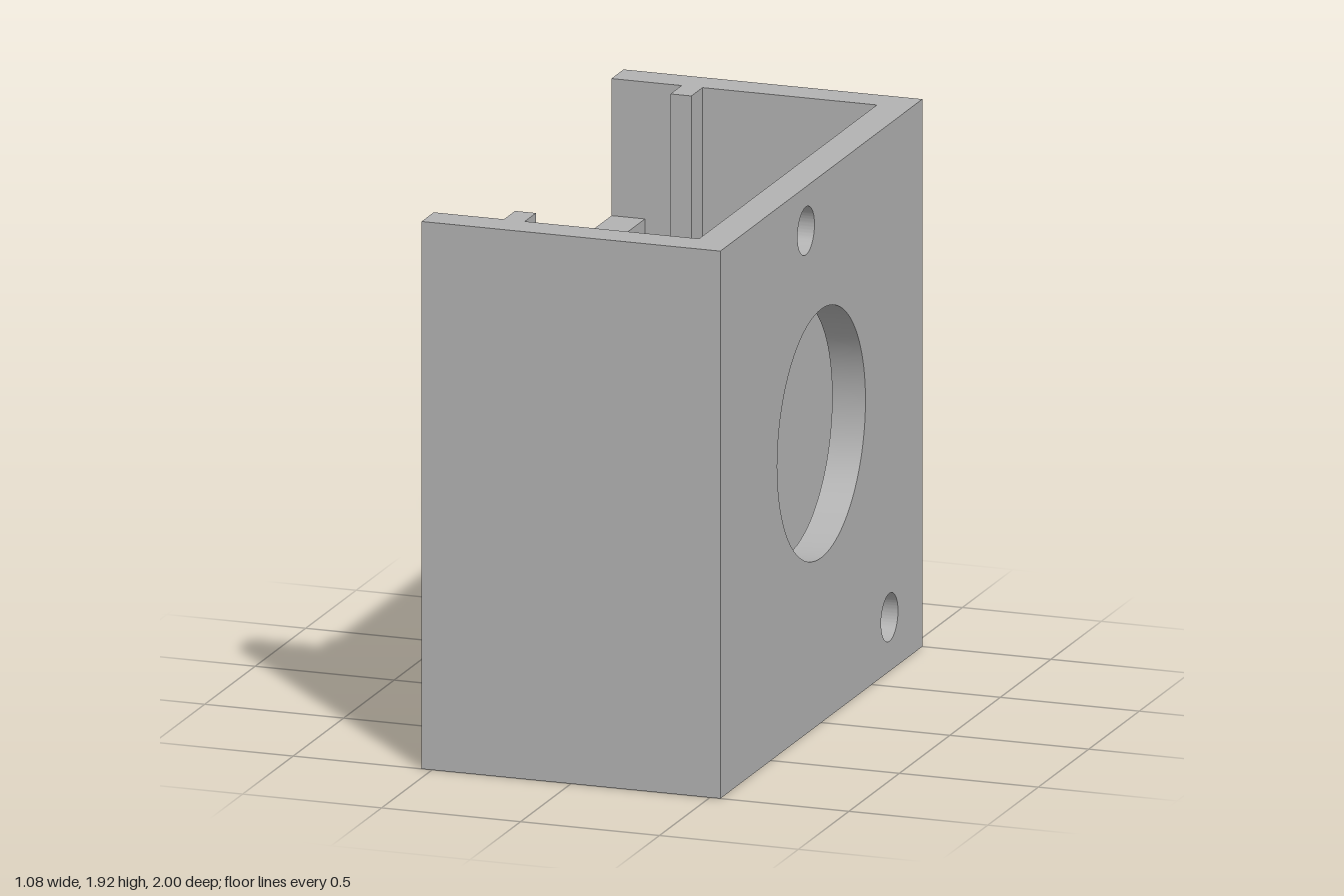
import * as THREE from 'three';
import { toCreasedNormals } from 'three/addons/utils/BufferGeometryUtils.js';

const X = 0.5375, H = 1.925, Z = 1; // half width, height, half depth
const WALL = 0.12;

export function createModel() {
  const group = new THREE.Group();
  const grey = new THREE.MeshStandardMaterial({ color: 0xb2b2b2 });
  grey.name = 'grey';

  function add(name, geometry) {
    const mesh = new THREE.Mesh(geometry, grey);
    mesh.name = name;
    group.add(mesh);
    return mesh;
  }

  // Box given by its extents on each axis
  function block(name, [x0, x1], [y0, y1], [z0, z1]) {
    const mesh = add(name, new THREE.BoxGeometry(x1 - x0, y1 - y0, z1 - z0));
    mesh.position.set((x0 + x1) / 2, (y0 + y1) / 2, (z0 + z1) / 2);
  }

  // Side plate with one large opening and two small holes: [z, y, radius]
  const plate = new THREE.Shape();
  plate.moveTo(-Z, 0).lineTo(Z, 0).lineTo(Z, H).lineTo(-Z, H).closePath();
  for (const [z, y, r] of [[0, 1.017, 0.437], [0.152, 1.77, 0.084], [-0.675, 0.19, 0.084]]) {
    plate.holes.push(new THREE.Path().absarc(-z, y, r, 0, Math.PI * 2, true));
  }
  const plateGeometry = new THREE.ExtrudeGeometry(plate, {
    depth: WALL, bevelEnabled: false, curveSegments: 48,
  });
  plateGeometry.rotateY(Math.PI / 2).translate(X - WALL, 0, 0);
  add('piercedSidePlate', toCreasedNormals(plateGeometry, 0.6));

  // Front and back walls, each with an upright guide rib inside
  const inner = Z - WALL;
  for (const [name, s] of [['front', 1], ['back', -1]]) {
    const span = (a, b) => (s > 0 ? [a, b] : [-b, -a]);
    block(name + 'Wall', [-X, X - WALL], [0, H], span(inner, Z));
    block(name + 'GuideRib', [-0.285, -0.21], [WALL, H], span(0.77, inner));
  }

  // Lower wall opposite the plate, and the ledge at its foot
  block('lowSideWall', [-X, -X + WALL], [0, 1.443], [-inner, inner]);
  block('bottomLedge', [-X + WALL, -0.21], [0, WALL], [-inner, inner]);

  return group;
}
